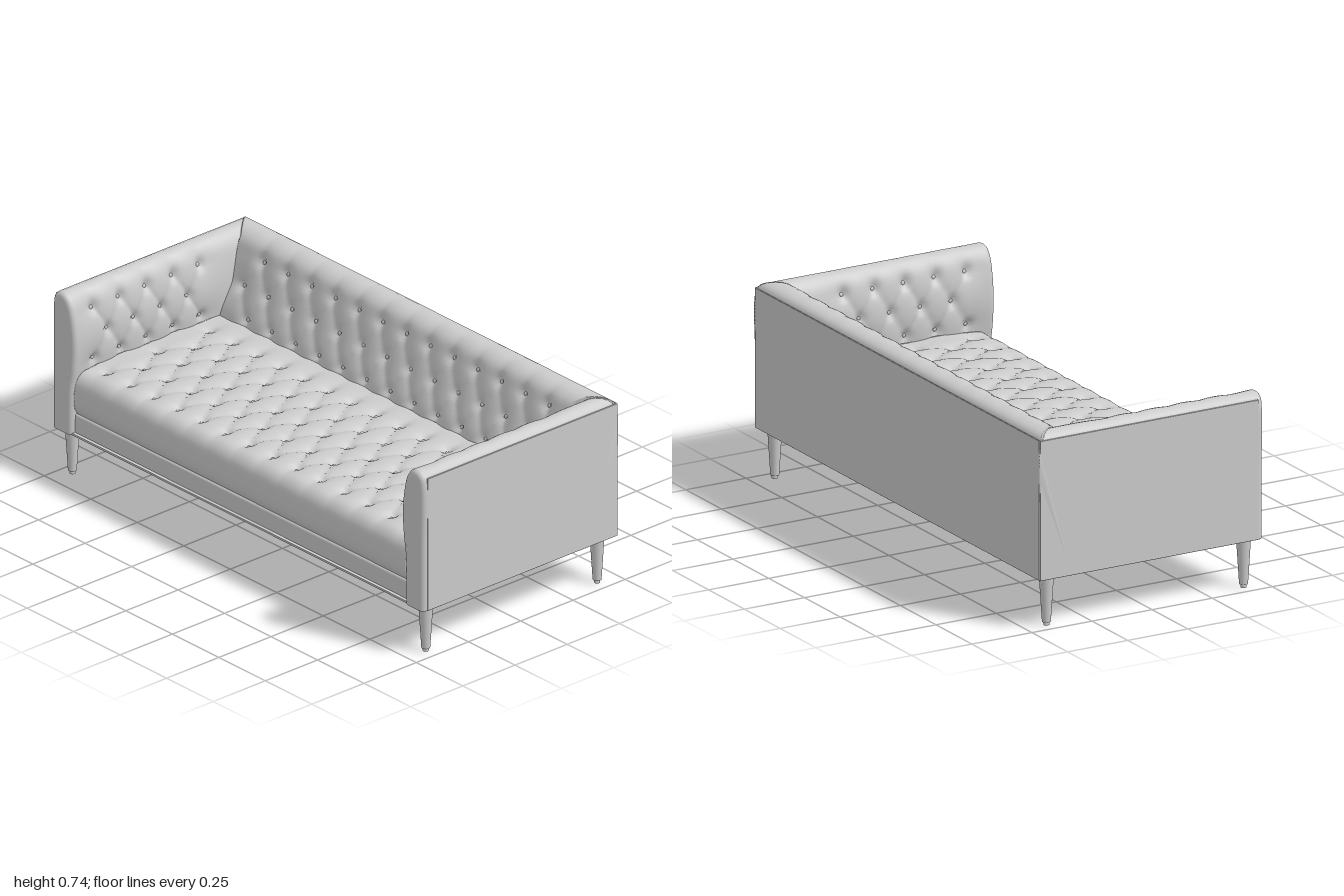
import * as THREE from 'three';
import { mergeGeometries } from 'three/addons/utils/BufferGeometryUtils.js';
import { RoundedBoxGeometry } from 'three/addons/geometries/RoundedBoxGeometry.js';

const material = new THREE.MeshStandardMaterial({ color: 0xcccccc, side: THREE.DoubleSide });
const { smoothstep, clamp } = THREE.MathUtils;

function add(parent, name, geometry, x = 0, y = 0, z = 0) {
  const mesh = new THREE.Mesh(geometry, material);
  mesh.name = name;
  mesh.position.set(x, y, z);
  parent.add(mesh);
  return mesh;
}

// Button lattice: a diamond grid where u + v + parity is even
function isButton(t, u, v) { return (u + v + t.parity) % 2 === 0; }

// How far the upholstery is pulled in at (s, c): diamond creases, edge pleats and button dents
function tuftDepth(t, s, c) {
  const u = (s - t.s0) / t.ds, v = (c - t.c0) / t.dc;
  const uc = clamp(u, -t.U, t.U), vc = clamp(v, 0, t.rows - 1);
  const over = Math.hypot((u - uc) * t.ds, (v - vc) * t.dc);
  const fade = Math.exp(-((over / 0.07) ** 2));
  const p = t.parity;
  const puff = Math.sqrt(Math.abs(Math.sin(Math.PI * (uc + vc + p) / 2) * Math.sin(Math.PI * (uc - vc + p) / 2)));
  let dent = 0;
  for (let j = Math.floor(vc); j <= Math.ceil(vc); j++) {
    for (let i = Math.floor(uc) - 1; i <= Math.floor(uc) + 2; i++) {
      if (Math.abs(i) > t.U || !isButton(t, i, j)) continue;
      const d2 = ((u - i) * t.ds) ** 2 + ((v - j) * t.dc) ** 2;
      dent = Math.max(dent, Math.exp(-d2 / 0.0004));
    }
  }
  return fade * (1 - puff) * 0.011 + dent * 0.016;
}

// Sweeps a (depth, height) profile along local x, presses in the tufting and adds the buttons
function upholstery(parent, name, { points, samples, rows, start, end, round, tuft, face }) {
  const curve = new THREE.CatmullRomCurve3(points.map(([a, b]) => new THREE.Vector3(a, b, 0)), false, 'centripetal');
  const prof = curve.getSpacedPoints(samples).map((p, j) => {
    const d = curve.getTangentAt(j / samples);
    return { a: p.x, b: p.y, na: -d.y, nb: d.x };
  });
  const facing = p => (face === 'top' ? p.nb : p.na);
  const across = p => (face === 'top' ? p.a : p.b);
  const first = prof[0], last = prof[samples];
  const base = { a: (first.a + last.a) / 2, b: (first.b + last.b) / 2 };

  // Rings: closed start, body, rounded end, closed end
  const rings = [{ f: 0, cap: true }];
  for (let i = 0; i <= rows; i++) rings.push({ f: i / rows, inset: 0, out: 0 });
  if (round) {
    for (let k = 1; k <= 5; k++) {
      const q = k / 5 * Math.PI / 2;
      rings.push({ f: 1, inset: round * (1 - Math.cos(q)), out: round * Math.sin(q) });
    }
    rings.push({ f: 1, inset: round + 0.004, out: round });
  }
  rings.push({ f: 1, cap: true, out: round });

  const pos = [], index = [], n = samples + 1;
  rings.forEach(r => prof.forEach(p => {
    const s0 = start(p.a), s1 = end(p.a) - round;
    const s = s0 + (s1 - s0) * r.f + (r.out || 0);
    if (r.cap) { pos.push(s, base.b, base.a); return; }
    const d = r.inset + tuftDepth(tuft, s, across(p)) * smoothstep(facing(p), -0.5, 0.3);
    pos.push(s, p.b - p.nb * d, p.a - p.na * d);
  }));
  for (let i = 0; i < rings.length - 1; i++) {
    for (let j = 0; j < samples; j++) {
      const q = i * n + j;
      index.push(q, q + 1, q + n, q + 1, q + n + 1, q + n);
    }
  }
  const geometry = new THREE.BufferGeometry();
  geometry.setAttribute('position', new THREE.Float32BufferAttribute(pos, 3));
  geometry.setIndex(index);
  geometry.computeVertexNormals();
  add(parent, name, geometry);

  // Buttons seated in the dents
  const buttons = [];
  for (let v = 0; v < tuft.rows; v++) {
    const c = tuft.c0 + v * tuft.dc;
    const p = prof.filter(q => facing(q) > 0.4)
      .reduce((m, q) => (Math.abs(across(q) - c) < Math.abs(across(m) - c) ? q : m));
    for (let u = -tuft.U; u <= tuft.U; u++) {
      if (!isButton(tuft, u, v)) continue;
      const g = new THREE.SphereGeometry(0.009, 8, 5);
      g.scale(1, 0.5, 1);
      g.rotateX(Math.atan2(p.na, p.nb));
      g.translate(tuft.s0 + u * tuft.ds, p.b - p.nb * 0.024, p.a - p.na * 0.024);
      buttons.push(g);
    }
  }
  add(parent, name + 'Buttons', mergeGeometries(buttons));
}

export function createModel() {
  const sofa = new THREE.Group();
  sofa.name = 'sofa';

  // Base frame
  add(sofa, 'underside', new THREE.BoxGeometry(1.98, 0.008, 0.91), 0, 0.188, 0);
  add(sofa, 'frontRail', new RoundedBoxGeometry(1.82, 0.08, 0.88, 3, 0.01), 0, 0.227, 0.003);
  add(sofa, 'backCore', new THREE.BoxGeometry(1.9, 0.45, 0.1), 0, 0.42, -0.4);

  // Seat cushion
  upholstery(sofa, 'seatCushion', {
    points: [[-0.27, 0.268], [-0.27, 0.41], [-0.25, 0.435], [-0.2, 0.44], [0.1, 0.442], [0.37, 0.437],
      [0.42, 0.425], [0.445, 0.395], [0.453, 0.34], [0.45, 0.29], [0.438, 0.268]],
    samples: 90, rows: 210, start: () => -0.895, end: () => 0.895, round: 0, face: 'top',
    tuft: { s0: 0, ds: 0.0638, U: 13, c0: -0.14, dc: 0.1225, rows: 5, parity: 1 },
  });

  // Leaning backrest, mitred into the arms
  const backEnd = a => Math.max(0.895, 1 - (a + 0.465) * 0.88);
  upholstery(sofa, 'backrest', {
    points: [[-0.463, 0.187], [-0.463, 0.45], [-0.463, 0.69], [-0.452, 0.724], [-0.42, 0.739], [-0.38, 0.738],
      [-0.345, 0.715], [-0.322, 0.66], [-0.285, 0.56], [-0.245, 0.46], [-0.235, 0.4], [-0.235, 0.3]],
    samples: 80, rows: 210, start: a => -backEnd(a), end: backEnd, round: 0, face: 'front',
    tuft: { s0: 0, ds: 0.0638, U: 13, c0: 0.46, dc: 0.1025, rows: 3, parity: 0 },
  });
  add(sofa, 'backPanel', new RoundedBoxGeometry(1.985, 0.528, 0.006, 2, 0.002), 0, 0.451, -0.463);

  // Arms: built facing inward, turned to the left side, then mirrored
  for (const side of [1, -1]) {
    const arm = new THREE.Group();
    arm.name = side > 0 ? 'leftArm' : 'rightArm';
    arm.scale.x = side;
    const pad = new THREE.Group();
    pad.name = 'armPad';
    pad.rotation.y = -Math.PI / 2;
    arm.add(pad);
    upholstery(pad, 'armUpholstery', {
      points: [[-0.997, 0.187], [-0.997, 0.45], [-0.997, 0.69], [-0.988, 0.722], [-0.96, 0.738], [-0.93, 0.733],
        [-0.902, 0.7], [-0.886, 0.64], [-0.878, 0.55], [-0.883, 0.45], [-0.894, 0.38], [-0.898, 0.187]],
      samples: 80, rows: 100, start: a => -0.463 + (a + 1) * 1.13, end: () => 0.466, round: 0.02, face: 'front',
      tuft: { s0: 0.1, ds: 0.0638, U: 4, c0: 0.46, dc: 0.1025, rows: 3, parity: 0 },
    });
    add(arm, 'armOuterPanel', new RoundedBoxGeometry(0.006, 0.528, 0.908, 2, 0.002), 0.997, 0.451, -0.01);
    sofa.add(arm);
  }

  // Tapered legs with small glides
  for (const [x, z] of [[0.95, 0.41], [-0.95, 0.41], [0.95, -0.41], [-0.95, -0.41], [0, -0.1]]) {
    const leg = new THREE.Group();
    leg.name = 'leg';
    leg.position.set(x, 0, z);
    add(leg, 'legShaft', new THREE.CylinderGeometry(0.027, 0.016, 0.175, 24), 0, 0.1, 0);
    add(leg, 'legGlide', new THREE.CylinderGeometry(0.011, 0.011, 0.014, 16), 0, 0.007, 0);
    sofa.add(leg);
  }
  return sofa;
}
